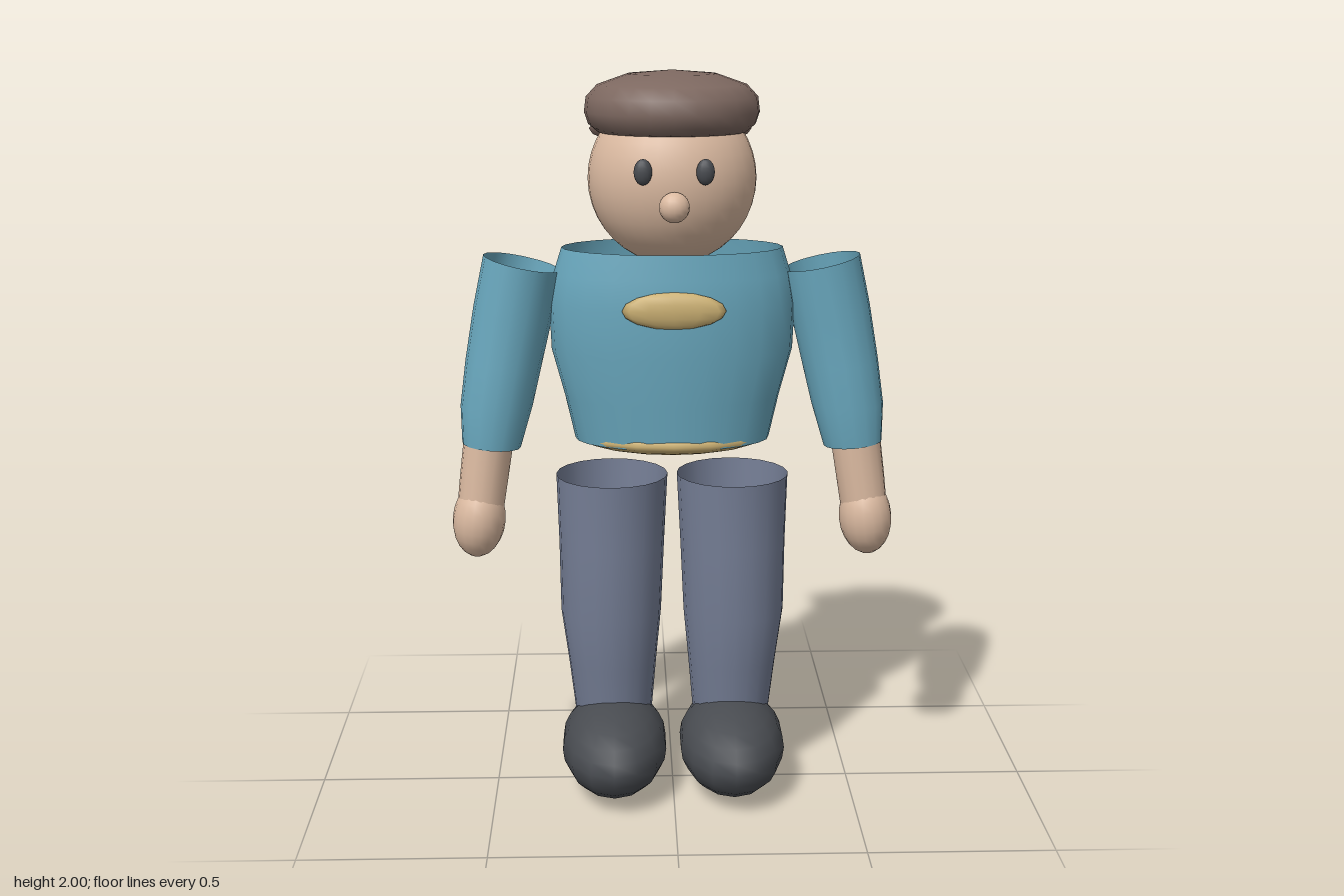
import * as THREE from 'three';

const mat = (name, color, side = THREE.FrontSide) => {
  const m = new THREE.MeshStandardMaterial({ color, side });
  m.name = name;
  return m;
};

// Open tube through elliptical rings, top to bottom: [x, y, z, rx, rz, slope]
function loft(rings, sides) {
  const pos = [], index = [];
  rings.forEach(([x, y, z, rx, rz, slope = 0], i) => {
    for (let j = 0; j < sides; j++) {
      const a = (j / sides) * Math.PI * 2, c = Math.cos(a) * rx;
      pos.push(x + c, y + c * slope, z + Math.sin(a) * rz);
      if (i === rings.length - 1) continue;
      const p = i * sides + j, q = i * sides + (j + 1) % sides;
      index.push(p, q, p + sides, q, q + sides, p + sides);
    }
  });
  const g = new THREE.BufferGeometry();
  g.setAttribute('position', new THREE.Float32BufferAttribute(pos, 3));
  g.setIndex(index);
  g.computeVertexNormals();
  return g;
}

function ellipsoid(rx, ry, rz, w = 24, h = 16) {
  return new THREE.SphereGeometry(1, w, h).scale(rx, ry, rz);
}

export function createModel() {
  const teal = mat('teal shirt', 0x68a6bc, THREE.DoubleSide);
  const skin = mat('skin', 0xdab9a0, THREE.DoubleSide);
  const slate = mat('slate trousers', 0x747d94, THREE.DoubleSide);
  const brown = mat('brown cap', 0x7d6860);
  const dark = mat('dark grey', 0x494c51);
  const gold = mat('gold', 0xcbb073);

  const model = new THREE.Group();
  model.name = 'figure';
  const add = (name, geometry, material, x = 0, y = 0, z = 0) => {
    const mesh = new THREE.Mesh(geometry, material);
    mesh.name = name;
    mesh.position.set(x, y, z);
    model.add(mesh);
    return mesh;
  };

  // Shirt body, open at both ends, with the belt just breaking through its hem
  add('shirt', loft([
    [0, 1.53, -0.042, 0.3, 0.172],
    [0, 1.46, -0.04, 0.322, 0.18],
    [0, 1.38, -0.037, 0.335, 0.186],
    [0, 1.25, -0.042, 0.33, 0.188],
    [0, 1.12, -0.042, 0.295, 0.178],
    [0, 1.0, -0.042, 0.268, 0.167],
  ], 24), teal);
  add('belt', ellipsoid(0.264, 0.045, 0.177, 16, 12), gold, 0, 1.01, -0.042);
  add('chestBadge', ellipsoid(0.138, 0.05, 0.022, 12, 8), gold, 0, 1.385, 0.143);

  // Head and face
  add('head', ellipsoid(0.227, 0.23, 0.2, 32, 20), skin, 0, 1.715, -0.043);
  add('nose', ellipsoid(0.04, 0.04, 0.035, 16, 12), skin, 0, 1.66, 0.165);

  // Cap with a rounded crown and a drooping peak at the back
  const crown = [[0, 1.83], [0.2, 1.838], [0.224, 1.858], [0.235, 1.89], [0.23, 1.93],
    [0.2, 1.962], [0.12, 1.99], [0, 2]].map(([r, y]) => new THREE.Vector2(r, y));
  add('capCrown', new THREE.LatheGeometry(crown, 24).scale(1, 1, 0.92), brown, 0, 0, -0.053);
  const peak = add('capPeak', ellipsoid(0.225, 0.05, 0.082, 14, 10), brown, 0, 1.832, -0.222);
  peak.rotation.x = -0.3;

  for (const s of [1, -1]) {
    const side = s > 0 ? 'left' : 'right';
    const mirror = (rings) => rings.map(([x, y, z, rx, rz, k = 0]) => [s * x, y, z, rx, rz, s * k]);

    add(side + 'Eye', ellipsoid(0.024, 0.034, 0.017, 12, 10), dark, s * 0.081, 1.75, 0.152);

    // Sleeve, bare forearm and hand
    add(side + 'Sleeve', loft(mirror([
      [0.407, 1.488, -0.042, 0.104, 0.112, 0.22],
      [0.435, 1.35, -0.04, 0.106, 0.112, 0.2],
      [0.463, 1.21, -0.033, 0.103, 0.107, 0.12],
      [0.482, 1.1, -0.012, 0.099, 0.094, 0],
      [0.498, 0.99, 0, 0.08, 0.074, 0.1],
    ]), 16), teal);
    add(side + 'Forearm', loft(mirror([
      [0.506, 1.0, 0, 0.069, 0.068],
      [0.52, 0.9, 0.006, 0.067, 0.068],
      [0.533, 0.8, 0.012, 0.064, 0.066],
    ]), 16), skin);
    const hand = add(side + 'Hand', ellipsoid(0.073, 0.107, 0.08, 18, 12), skin, s * 0.536, 0.782, 0.014);
    hand.rotation.z = s * 0.1;

    // Open-topped trouser leg
    add(side + 'Leg', loft(mirror([
      [0.168, 0.895, -0.045, 0.155, 0.16],
      [0.17, 0.7, -0.04, 0.147, 0.151],
      [0.173, 0.5, -0.033, 0.141, 0.142],
      [0.17, 0.35, -0.037, 0.124, 0.126],
      [0.167, 0.16, -0.042, 0.105, 0.108],
    ]), 20), slate);

    // Thin gold seam behind the knee
    const seam = new THREE.TorusGeometry(0.137, 0.005, 6, 24, 2.3).rotateX(-Math.PI / 2);
    add(side + 'KneeSeam', seam, gold, s * 0.172, 0.443, -0.035).rotation.y = s > 0 ? 0.6 : 0.24;

    // Rounded shoe
    add(side + 'Shoe',
      new THREE.SphereGeometry(1, 14, 12).rotateY(Math.PI / 14).scale(0.149, 0.13, 0.26),
      dark, s * 0.166, 0.13, 0.047);
  }
  return model;
}
